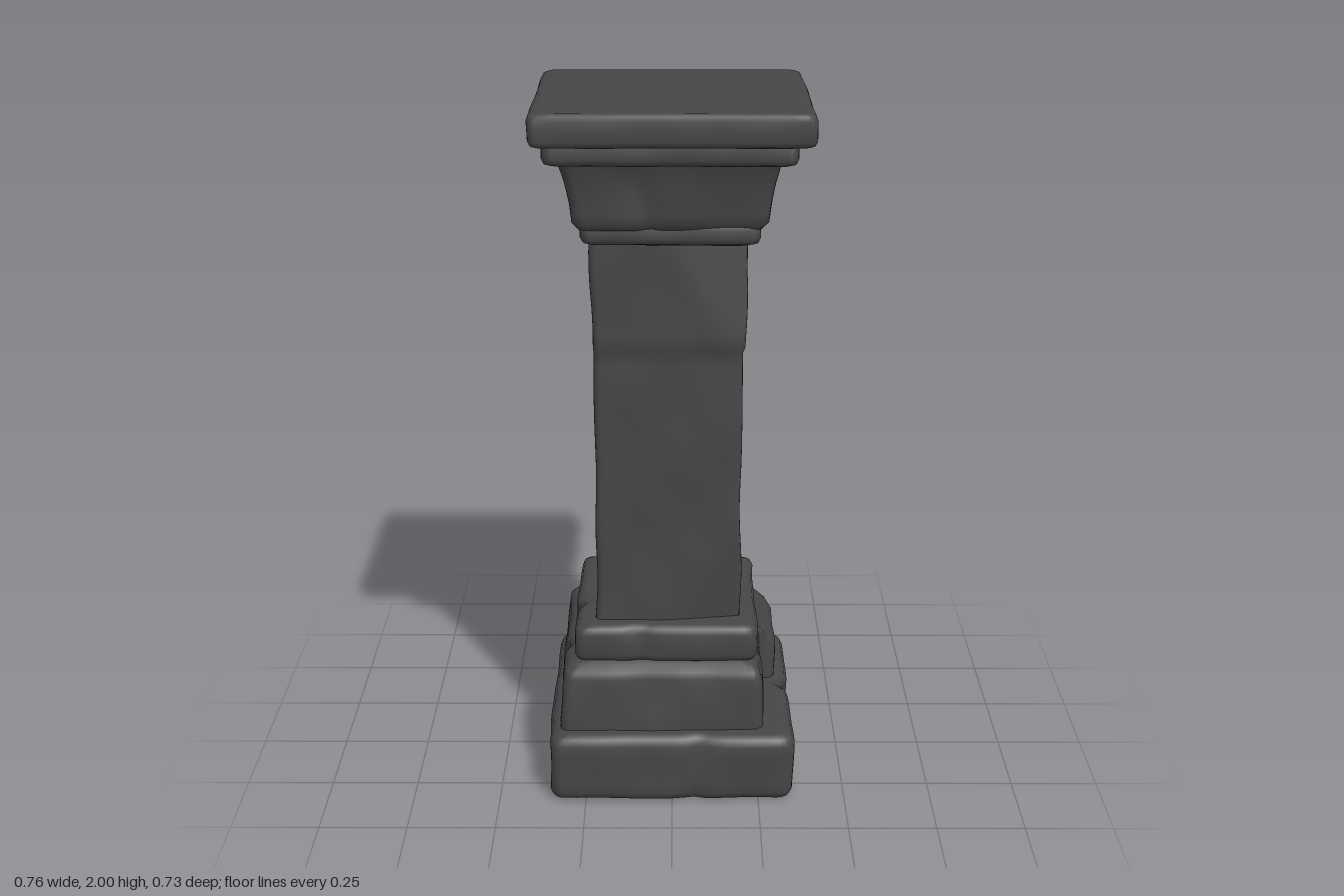
import * as THREE from 'three';

const stone = new THREE.MeshStandardMaterial({ color: 0x464646 });
stone.name = 'dark stone';

// Gentle uneven wear, different for each seed
const wear = (a, b, s) =>
  0.5 * Math.sin(a * 9 + s) * Math.cos(b * 7 - s * 2) + 0.35 * Math.sin(a * 17 - b * 13 + s * 3) + 0.15 * Math.sin(b * 31 + a * 23 + s);

// Rounded rectangle, clockwise as seen from above
function ring([y, x0, x1, z0, z1], r) {
  const signs = [[1, 1], [-1, 1], [-1, -1], [1, -1]];
  const arcs = signs.map(([sx, sz], k) => {
    const cx = sx > 0 ? x1 - r : x0 + r, cz = sz > 0 ? z1 - r : z0 + r;
    return [0, 1, 2, 3, 4].map((i) => {
      const a = (k + i / 4) * Math.PI / 2;
      return new THREE.Vector3(cx + r * Math.cos(a), y, cz + r * Math.sin(a));
    });
  });
  const pts = [];
  arcs.forEach((arc, k) => {
    pts.push(...arc);
    const next = arcs[(k + 1) % 4][0];
    for (let i = 1; i < 18; i++) pts.push(arc[4].clone().lerp(next, i / 18));
  });
  return pts;
}

// Loft rows of [y, x0, x1, z0, z1], then wear, crack and chisel the surface.
// cracks: [axis, position, side axis, side sign, depth]; cuts: [normal, point]
function carve(name, rows, { r = 0.03, amp = 0.006, seed = 1, cracks = [], cuts = [] } = {}) {
  const fine = [rows[0]];
  for (let i = 1; i < rows.length; i++) {
    const a = rows[i - 1], b = rows[i], n = Math.max(1, Math.ceil(Math.abs(b[0] - a[0]) / 0.035));
    for (let k = 1; k <= n; k++) fine.push(a.map((v, c) => v + (b[c] - v) * k / n));
  }
  const planes = cuts.map(([n, p]) => {
    const normal = new THREE.Vector3(...n).normalize();
    return { normal, d: normal.dot(new THREE.Vector3(...p)) };
  });
  const rings = fine.map((row) => ring(row, r));
  const n = rings[0].length, pos = [], idx = [];
  rings.flat().forEach((p) => {
    const { x, y, z } = p;
    p.x += amp * wear(y, z + Math.sign(x), seed);
    p.z += amp * wear(y, x + Math.sign(z) * 2, seed + 4);
    for (const [axis, at, side, sign, depth] of cracks) {
      const w = (p[axis] - at + 0.02 * Math.sin(y * 25)) / 0.025;
      if (p[side] * sign > 0.1) p[side] -= sign * depth * Math.exp(-w * w);
    }
    for (const { normal, d } of planes) {
      const over = p.dot(normal) - d;
      if (over > 0) p.addScaledVector(normal, -over);
    }
    pos.push(p.x, p.y, p.z);
  });
  for (let j = 0; j < rings.length - 1; j++) {
    for (let i = 0; i < n; i++) {
      const a = j * n + i, c = j * n + (i + 1) % n;
      idx.push(a, a + n, c, c, a + n, c + n);
    }
  }
  // end caps
  [0, rings.length - 1].forEach((j) => {
    const [y, x0, x1, z0, z1] = fine[j], centre = pos.length / 3;
    pos.push((x0 + x1) / 2, y, (z0 + z1) / 2);
    for (let i = 0; i < n; i++) {
      const a = j * n + i, c = j * n + (i + 1) % n;
      if (j) idx.push(centre, c, a); else idx.push(centre, a, c);
    }
  });
  const g = new THREE.BufferGeometry();
  g.setAttribute('position', new THREE.Float32BufferAttribute(pos, 3));
  g.setIndex(idx);
  g.computeVertexNormals();
  const mesh = new THREE.Mesh(g, stone);
  mesh.name = name;
  return mesh;
}

// Rows of a slab with rounded top and bottom edges of size e
function slab(y0, y1, x0, x1, z0, z1, e) {
  const row = (y, i) => [y, x0 + i, x1 - i, z0 + i, z1 - i];
  const steps = [[0, 2.2], [0, 1], [0.3, 0.3], [1, 0]];
  return [
    ...steps.map(([h, i]) => row(y0 + h * e, i * e)),
    ...steps.reverse().map(([h, i]) => row(y1 - h * e, i * e)),
  ];
}

export function createModel() {
  const pillar = new THREE.Group();
  pillar.name = 'stonePillar';
  pillar.add(
    // stepped base
    carve('plinth', slab(0, 0.205, -0.355, 0.35, -0.36, 0.357, 0.028), {
      r: 0.035, seed: 1,
      cracks: [['z', -0.03, 'x', 1, 0.035], ['x', 0.04, 'z', -1, 0.025], ['x', 0.06, 'z', 1, 0.012]],
    }),
    carve('baseBlock', [
      [0.18, -0.325, 0.265, -0.3, 0.305], [0.23, -0.327, 0.265, -0.305, 0.305],
      [0.34, -0.32, 0.26, -0.305, 0.295], [0.38, -0.312, 0.25, -0.295, 0.288],
      [0.4, -0.295, 0.235, -0.28, 0.27], [0.41, -0.26, 0.2, -0.24, 0.24],
    ], { seed: 2, amp: 0.008, cracks: [['x', 0.05, 'z', -1, 0.02], ['z', 0.1, 'x', -1, 0.015]] }),
    carve('brokenCornerBlock', slab(0.16, 0.405, 0.02, 0.312, -0.32, -0.03, 0.025), {
      seed: 3, cuts: [[[0.75, 0.65, 0], [0.295, 0.335, 0]], [[0, 0.6, -0.8], [0, 0.385, -0.295]]],
    }),
    carve('baseCollar', slab(0.4, 0.512, -0.28, 0.245, -0.272, 0.268, 0.024), {
      seed: 5, cracks: [['z', 0.08, 'x', -1, 0.025], ['x', -0.1, 'z', 1, 0.01]],
    }),
    // chipped shaft
    carve('shaft', [
      [0.48, -0.22, 0.195, -0.203, 0.207], [0.6, -0.216, 0.195, -0.203, 0.205],
      [1.0, -0.217, 0.195, -0.204, 0.205], [1.31, -0.216, 0.194, -0.204, 0.204],
      [1.33, -0.218, 0.2, -0.206, 0.215], [1.5, -0.224, 0.206, -0.207, 0.216],
      [1.66, -0.226, 0.211, -0.207, 0.216],
    ], {
      r: 0.018, amp: 0.005, seed: 6,
      cuts: [
        [[0.15, -0.08, 1], [0.1, 0.65, 0.205]], [[0.12, 0.08, 1], [0.12, 1.45, 0.212]],
        [[1, 0.06, -0.2], [0.196, 1.4, -0.12]], [[-1, -0.05, -0.15], [-0.215, 0.8, -0.1]],
        [[-0.8, 0.1, -0.8], [-0.2, 1.2, -0.19]],
      ],
    }),
    // flared capital
    carve('neckMoulding', slab(1.625, 1.69, -0.25, 0.235, -0.218, 0.25, 0.02), { seed: 7 }),
    carve('capital', [
      [1.665, -0.22, 0.21, -0.2, 0.22], [1.67, -0.255, 0.245, -0.235, 0.25],
      [1.69, -0.27, 0.263, -0.248, 0.264], [1.74, -0.278, 0.268, -0.256, 0.268],
      [1.8, -0.292, 0.275, -0.265, 0.275], [1.85, -0.305, 0.284, -0.278, 0.288],
      [1.88, -0.32, 0.3, -0.29, 0.3],
    ], { seed: 8, amp: 0.008, cracks: [['x', -0.08, 'z', 1, 0.008], ['z', -0.05, 'x', 1, 0.01]] }),
    carve('upperMoulding', slab(1.855, 1.925, -0.338, 0.335, -0.33, 0.33, 0.02), { seed: 9 }),
    carve('topSlab', slab(1.91, 2, -0.376, 0.374, -0.364, 0.364, 0.018), {
      r: 0.022, amp: 0.004, seed: 10,
      cuts: [[[-0.6, 0.2, -0.8], [-0.355, 1.99, -0.352]], [[0.8, 0, -0.35], [0.362, 1.95, -0.345]]],
    }),
  );
  return pillar;
}
